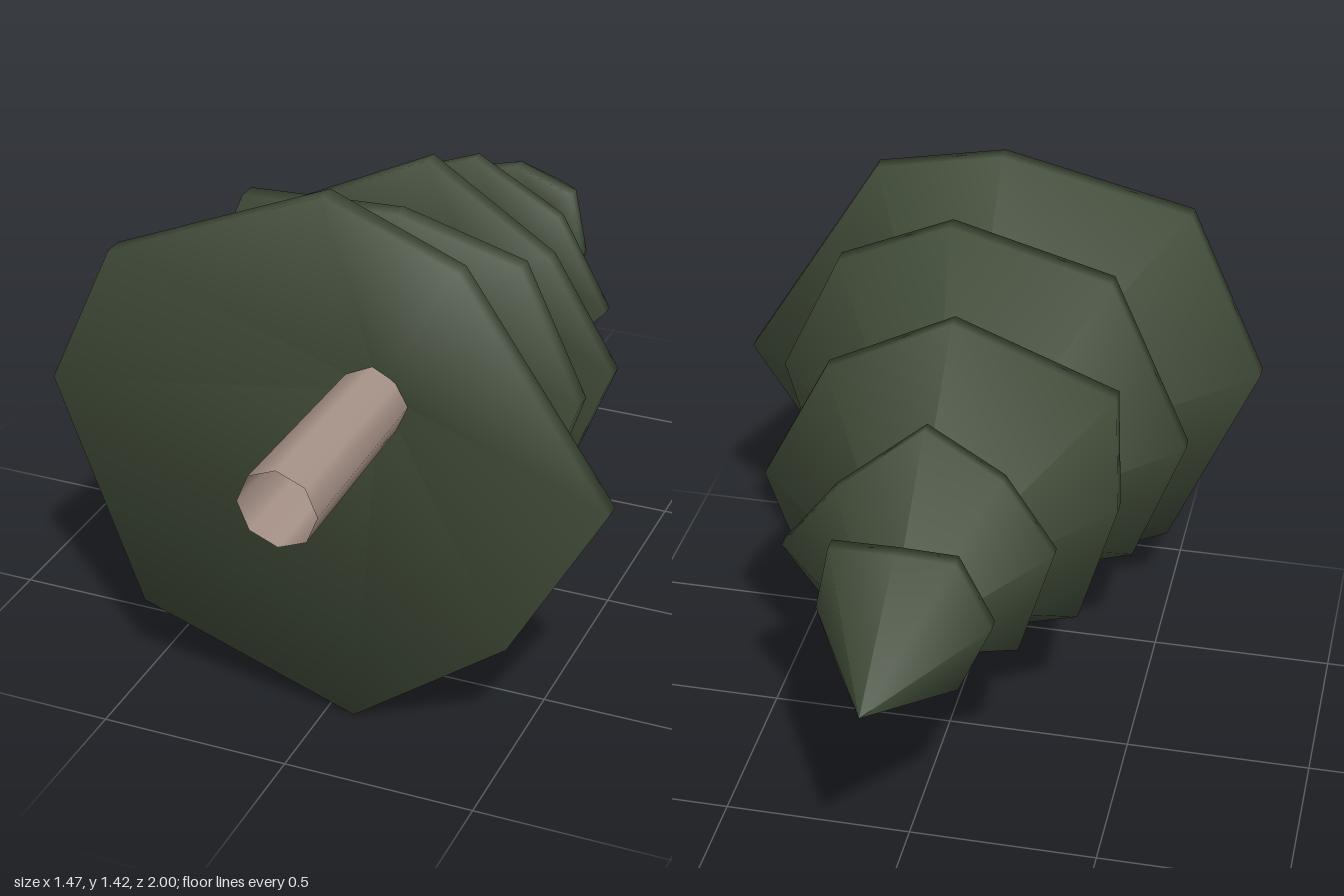
import * as THREE from 'three';

const AXIS_Y = 0.735; // the tree lies along z, tip towards -z

// Each tier: tip = outer apex z, lip = rim thickness, rim = [x, y, z] corners
const TIERS = [
  { tip: 0.1, lip: 0.05, rim: [
    [0, 1.42, 0.71], [0.37, 1.32, 0.78], [0.735, 0.735, 0.74], [0.5, 0.33, 0.785],
    [0.075, 0, 0.745], [-0.49, 0.23, 0.78], [-0.735, 0.81, 0.74], [-0.51, 1.24, 0.825]] },
  { tip: -0.22, lip: 0.05, rim: [
    [0.1, 1.3, 0.5], [0.4, 1.19, 0.455], [0.56, 0.85, 0.46], [0.39, 0.38, 0.39],
    [0.02, 0.18, 0.5], [-0.44, 0.38, 0.42], [-0.565, 0.69, 0.5], [-0.36, 1.23, 0.4]] },
  { tip: -0.54, lip: 0.045, rim: [
    [0, 1.245, 0.065], [0.35, 1.05, 0.11], [0.515, 0.73, 0.07], [0.38, 0.4, 0.04],
    [-0.02, 0.25, 0.14], [-0.35, 0.4, 0.05], [-0.44, 0.71, 0.11], [-0.425, 1.05, 0.11]] },
  { tip: -0.74, lip: 0.035, rim: [
    [0, 1.115, -0.265], [0.22, 0.95, -0.325], [0.38, 0.725, -0.265], [0.24, 0.57, -0.3],
    [0, 0.45, -0.26], [-0.25, 0.5, -0.285], [-0.335, 0.79, -0.265], [-0.21, 1.02, -0.31]] },
  { tip: -1, lip: 0.04, rim: [
    [0, 0.955, -0.59], [0.18, 0.92, -0.54], [0.215, 0.74, -0.54], [0.15, 0.57, -0.57],
    [0, 0.515, -0.54], [-0.15, 0.55, -0.55], [-0.23, 0.73, -0.53], [-0.145, 0.93, -0.56]] },
];

// Smooth shell from four rings: tip, top of rim, bottom of rim, hollow underside
function tierGeometry({ tip, lip, rim }) {
  const n = rim.length;
  const meanZ = rim.reduce((s, p) => s + p[2], 0) / n;
  const hollowZ = meanZ - 0.62 * (meanZ - lip - tip);
  const rings = [
    { at: () => [0, AXIS_Y, tip], normal: [0.7, -0.7] },
    { at: (p) => [p[0], p[1], p[2] - lip], normal: [0.85, -0.5] },
    { at: (p) => p, normal: [0.55, 0.83] },
    { at: () => [0, AXIS_Y, hollowZ], normal: [-0.2, 0.98] },
  ];
  const pos = [], nor = [], idx = [];
  rings.forEach(({ at, normal }, j) => {
    rim.forEach((p, i) => {
      const r = Math.hypot(p[0], p[1] - AXIS_Y);
      const dir = new THREE.Vector3(p[0] / r * normal[0], (p[1] - AXIS_Y) / r * normal[0], normal[1]).normalize();
      pos.push(...at(p));
      nor.push(...dir.toArray());
      if (j === rings.length - 1) return;
      const a = j * n + i, b = j * n + (i + 1) % n, c = a + n, d = b + n;
      if (j < 2) idx.push(b, c, d); // skipped where the ring closes to a point
      if (j > 0) idx.push(a, c, b);
    });
  });
  const geo = new THREE.BufferGeometry();
  geo.setAttribute('position', new THREE.Float32BufferAttribute(pos, 3));
  geo.setAttribute('normal', new THREE.Float32BufferAttribute(nor, 3));
  geo.setIndex(idx);
  return geo;
}

export function createModel() {
  const tree = new THREE.Group();
  tree.name = 'tree';
  const needles = new THREE.MeshStandardMaterial({ color: 0x3f4a37 });
  needles.name = 'needle green';
  const bark = new THREE.MeshStandardMaterial({ color: 0xa89389, side: THREE.DoubleSide });
  bark.name = 'bark';

  // Branch tiers, largest first
  TIERS.forEach((tier, i) => {
    const mesh = new THREE.Mesh(tierGeometry(tier), needles);
    mesh.name = `branchTier${i + 1}`;
    tree.add(mesh);
  });

  // Hollow trunk, slightly wider at its foot
  const trunk = new THREE.Mesh(new THREE.CylinderGeometry(0.105, 0.095, 0.64, 8, 1, true), bark);
  trunk.name = 'trunk';
  trunk.rotation.x = Math.PI / 2;
  trunk.position.set(0, AXIS_Y, 0.68);
  tree.add(trunk);
  return tree;
}
